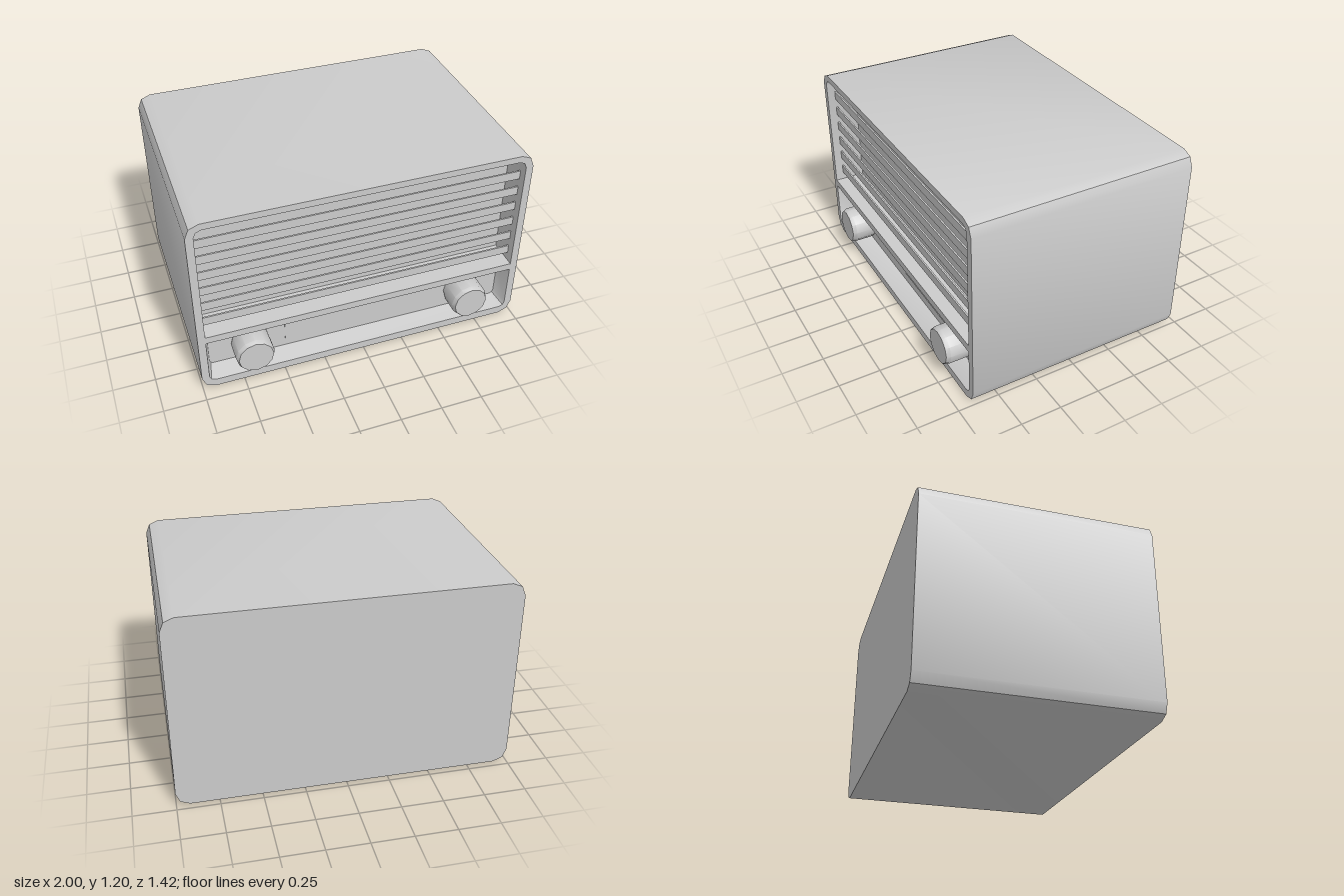
import * as THREE from 'three';
import { toCreasedNormals } from 'three/addons/utils/BufferGeometryUtils.js';

const FRONT = 0.66, BACK = -0.71;
const material = new THREE.MeshStandardMaterial({ color: 0xcccccc });

// Counter-clockwise rectangle outline with two-step rounded corners (radius 0 = square)
function outline(halfWidth, y0, y1, rBottom, rTop) {
  const corners = [
    [-halfWidth, y0, 1, 1, rBottom, Math.PI], [halfWidth, y0, -1, 1, rBottom, 1.5 * Math.PI],
    [halfWidth, y1, -1, -1, rTop, 0], [-halfWidth, y1, 1, -1, rTop, 0.5 * Math.PI],
  ];
  const points = [];
  for (const [x, y, sx, sy, r, start] of corners) {
    for (let i = 0; i <= (r > 0 ? 2 : 0); i++) {
      const a = start + i * Math.PI / 4;
      points.push(new THREE.Vector2(x + r * (sx + Math.cos(a)), y + r * (sy + Math.sin(a))));
    }
  }
  return points;
}

// Wall between two outlines; faces outward when z1 > z0, inward when z1 < z0
function wall(ring0, z0, ring1, z1) {
  const positions = [];
  ring0.forEach((a, i) => {
    const j = (i + 1) % ring0.length;
    const b = ring0[j], c = ring1[j], d = ring1[i];
    positions.push(a.x, a.y, z0, b.x, b.y, z0, c.x, c.y, z1);
    positions.push(a.x, a.y, z0, c.x, c.y, z1, d.x, d.y, z1);
  });
  const geometry = new THREE.BufferGeometry();
  geometry.setAttribute('position', new THREE.Float32BufferAttribute(positions, 3));
  return toCreasedNormals(geometry, 0.6);
}

// Flat front-facing panel with optional openings
function panel(ring, z, holes = []) {
  const shape = new THREE.Shape(ring);
  holes.forEach((h) => shape.holes.push(new THREE.Path(h)));
  return new THREE.ShapeGeometry(shape).translate(0, 0, z);
}

export function createModel() {
  const model = new THREE.Group();
  const add = (name, geometry) => {
    const mesh = new THREE.Mesh(geometry, material);
    mesh.name = name;
    model.add(mesh);
    return mesh;
  };

  // Cabinet
  const body = outline(1, 0, 1.2, 0.08, 0.08);
  const grilleOpening = outline(0.955, 0.4, 1.16, 0, 0.045);
  const controlOpening = outline(0.955, 0.05, 0.355, 0.035, 0);
  const controlBase = outline(0.93, 0.075, 0.32, 0.025, 0);
  add('cabinetShell', wall(body, BACK, body, FRONT));
  add('cabinetBack', panel(body, 0).rotateY(Math.PI).translate(0, 0, BACK));
  add('frontFrame', panel(body, FRONT, [grilleOpening, controlOpening]));

  // Speaker recess with horizontal slats
  const grilleBack = FRONT - 0.19;
  add('grilleRecess', wall(grilleOpening, FRONT, grilleOpening, grilleBack));
  add('grilleBackPanel', panel(grilleOpening, grilleBack));
  for (let i = 0; i < 6; i++) {
    add('grilleSlat', new THREE.BoxGeometry(1.91, 0.055, 0.01))
      .position.set(0, 0.478 + i * 0.111, FRONT - 0.055);
  }

  // Tapered control recess with dial window
  const controlZ = FRONT - 0.11;
  add('controlRecess', wall(controlOpening, FRONT, controlBase, controlZ));
  add('controlPanel', panel(controlBase, controlZ));
  add('dialWindow', new THREE.BoxGeometry(0.915, 0.13, 0.006)).position.set(-0.006, 0.195, controlZ);

  // Twelve-sided knobs with a bevelled face
  const profile = [[0.11, 0], [0.115, 0.02], [0.115, 0.135], [0.104, 0.16], [0, 0.16]]
    .map(([r, h]) => new THREE.Vector2(r, h));
  const knob = toCreasedNormals(new THREE.LatheGeometry(profile, 12).rotateX(Math.PI / 2), 0.6);
  for (const side of [-1, 1]) {
    add(side > 0 ? 'leftKnob' : 'rightKnob', knob).position.set(side * 0.681, 0.2, controlZ);
  }
  return model;
}
